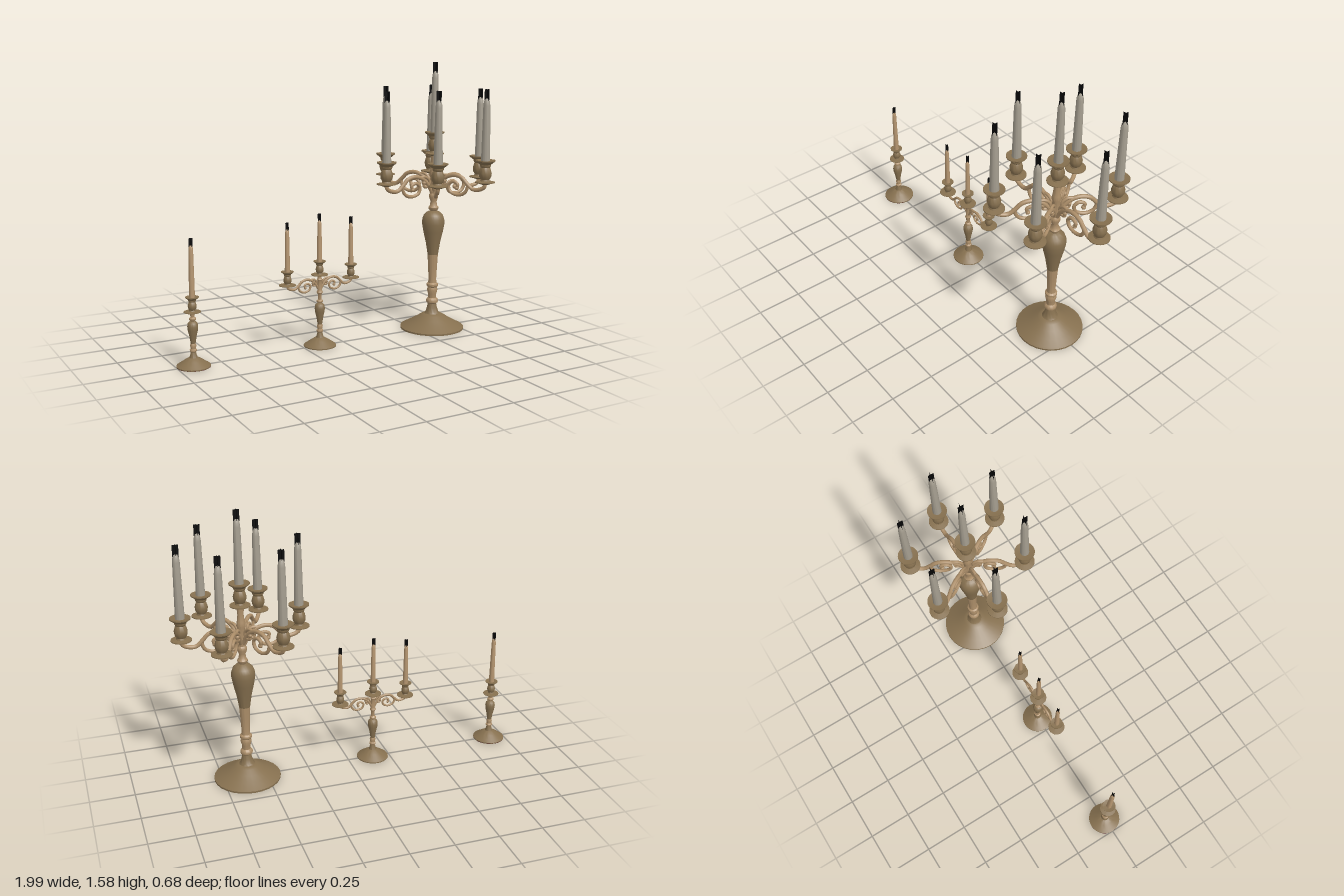
import * as THREE from 'three';
import { toCreasedNormals } from 'three/addons/utils/BufferGeometryUtils.js';

const mat = (name, color, side = THREE.FrontSide) => {
  const m = new THREE.MeshStandardMaterial({ color, side });
  m.name = name;
  return m;
};
const darkBrass = mat('dark brass', 0x86704f);
const lightBrass = mat('light brass', 0xac8e69);
const greyWax = mat('grey wax', 0xa39c8e);
const tanWax = mat('tan wax', 0xb3946f);
const black = mat('black flame', 0x060606, THREE.DoubleSide);
const felt = mat('red felt', 0x5c2a30);

const V = (x, y) => new THREE.Vector3(x, y, 0);

function mesh(name, geometry, material) {
  const m = new THREE.Mesh(geometry, material);
  m.name = name;
  return m;
}

// Turned part from [radius, height] pairs, bottom to top
function turned(name, profile, material, s = 1) {
  const pts = profile.map(([r, y]) => new THREE.Vector2(r * s, y * s));
  return mesh(name, toCreasedNormals(new THREE.LatheGeometry(pts, 28), 0.65), material);
}

// Drip dish and cup, origin at the dish
function holder(s, dish = 0.057) {
  return turned('candleHolder', [[0, -0.012], [0.018, -0.012], [dish * 0.7, -0.004],
    [dish, 0], [dish, 0.005], [0.028, 0.01], [0.025, 0.018], [0.034, 0.034], [0.037, 0.055],
    [0.03, 0.08], [0.026, 0.087], [0.032, 0.096], [0.032, 0.104], [0.045, 0.115],
    [0.057, 0.124], [0.057, 0.13], [0.03, 0.126], [0, 0.126]], darkBrass, s);
}

// Tapered candle with a crossed-card flame, origin at the candle foot
function candle(r, h, flameW, flameH, wax) {
  const g = new THREE.Group();
  g.name = 'candle';
  g.add(turned('wax', [[0, 0], [r, 0], [r * 0.76, h - r * 1.6], [r * 0.65, h - r * 0.7],
    [r * 0.4, h - r * 0.1], [0, h]], wax));
  for (const a of [0, Math.PI / 2]) {
    const card = mesh('flame', new THREE.PlaneGeometry(flameW, flameH), black);
    card.position.y = h + flameH / 2 - r * 0.5;
    card.rotation.y = a;
    g.add(card);
  }
  return g;
}

function tube(name, pts, r) {
  const curve = new THREE.CatmullRomCurve3(pts.map(([x, y]) => V(x, y)));
  return mesh(name, new THREE.TubeGeometry(curve, 48, r, 8), lightBrass);
}

// Scrolled arm, reaching along +x; the dish sits at (0.325, 0)
function arm(s) {
  const g = new THREE.Group();
  g.name = 'arm';
  g.add(
    tube('armCurve', [[0.012, -0.07], [0.035, -0.03], [0.075, 0.012], [0.13, 0.03], [0.18, 0.018],
      [0.21, -0.012], [0.25, -0.045], [0.295, -0.042], [0.322, -0.025], [0.325, -0.005]], 0.012),
    tube('outerScroll', [[0.19, 0.012], [0.216, -0.025], [0.2, -0.068], [0.155, -0.085],
      [0.107, -0.068], [0.097, -0.03], [0.125, -0.008], [0.154, -0.022], [0.148, -0.045]], 0.01),
    tube('innerScroll', [[0.1, 0.022], [0.06, 0.025], [0.032, 0.0], [0.04, -0.03],
      [0.068, -0.03], [0.07, -0.008]], 0.009)
  );
  for (const [x, y] of [[0.148, -0.045], [0.07, -0.008]]) {
    const knob = mesh('scrollEnd', new THREE.SphereGeometry(0.013, 12, 8), lightBrass);
    knob.position.set(x, y, 0);
    g.add(knob);
  }
  g.scale.setScalar(s);
  return g;
}

function holderWithCandle(s, dish, wax, candleArgs) {
  const g = new THREE.Group();
  g.name = 'candleAndHolder';
  const c = candle(...candleArgs, wax);
  c.position.y = 0.126 * s;
  g.add(holder(s, dish), c);
  return g;
}

function place(parent, child, x, y, z = 0) {
  child.position.set(x, y, z);
  parent.add(child);
}

function largeCandelabrum() {
  const g = new THREE.Group();
  g.name = 'largeCandelabrum';
  g.add(
    turned('foot', [[0, 0], [0.19, 0], [0.19, 0.01], [0.178, 0.016], [0.14, 0.037], [0.1, 0.06],
      [0.07, 0.08], [0.055, 0.088], [0.045, 0.09], [0.038, 0.1], [0.03, 0.125], [0.025, 0.15]], darkBrass),
    turned('lowerStem', [[0.025, 0.15], [0.034, 0.157], [0.036, 0.167], [0.032, 0.178], [0.024, 0.185],
      [0.025, 0.21], [0.032, 0.235], [0.027, 0.25], [0.034, 0.258], [0.034, 0.27], [0.025, 0.278],
      [0.023, 0.3], [0.027, 0.38], [0.031, 0.45]], lightBrass),
    turned('bulb', [[0.031, 0.45], [0.042, 0.52], [0.058, 0.59], [0.066, 0.635], [0.065, 0.665],
      [0.056, 0.69], [0.038, 0.707], [0.02, 0.715]], darkBrass),
    turned('upperStem', [[0.02, 0.715], [0.028, 0.725], [0.03, 0.735], [0.022, 0.745], [0.018, 0.77],
      [0.027, 0.795], [0.027, 0.81], [0.02, 0.82], [0.024, 0.87], [0.02, 0.92], [0.026, 0.94],
      [0.022, 0.96], [0.017, 1.0], [0.02, 1.045]], lightBrass)
  );
  place(g, holderWithCandle(1, 0.057, greyWax, [0.025, 0.355, 0.034, 0.064]), 0, 1.052);
  for (let i = 0; i < 6; i++) {
    const a = i * Math.PI / 3;
    const y = i % 3 === 0 ? 0.893 : 0.906;
    const branch = arm(1);
    branch.rotation.y = a;
    place(g, branch, 0, y);
    place(g, holderWithCandle(1, 0.057, greyWax, [0.026, 0.355, 0.034, 0.064]),
      0.325 * Math.cos(a), y, -0.325 * Math.sin(a));
  }
  return g;
}

// Foot and bulb shared by the two small pieces
function smallBase() {
  const g = new THREE.Group();
  g.name = 'smallBase';
  g.add(
    turned('foot', [[0, 0], [0.092, 0], [0.092, 0.006], [0.075, 0.017], [0.05, 0.034], [0.033, 0.045],
      [0.022, 0.05], [0.017, 0.065], [0.014, 0.08]], darkBrass),
    turned('lowerStem', [[0.014, 0.08], [0.019, 0.085], [0.019, 0.092], [0.013, 0.097],
      [0.017, 0.115], [0.013, 0.127]], lightBrass),
    turned('bulb', [[0.013, 0.127], [0.019, 0.165], [0.027, 0.2], [0.029, 0.22], [0.026, 0.238],
      [0.017, 0.247], [0.011, 0.25]], darkBrass)
  );
  return g;
}

function threeBranch() {
  const g = new THREE.Group();
  g.name = 'threeBranchCandelabrum';
  const s = 0.615;
  g.add(smallBase(), turned('upperStem', [[0.011, 0.25], [0.018, 0.256], [0.018, 0.263], [0.011, 0.27],
    [0.011, 0.3], [0.018, 0.312], [0.012, 0.325], [0.014, 0.355], [0.012, 0.375], [0.016, 0.385],
    [0.011, 0.395], [0.012, 0.408]], lightBrass));
  place(g, holderWithCandle(s, 0.078, tanWax, [0.015, 0.235, 0.021, 0.044]), 0, 0.412);
  for (const side of [1, -1]) {
    const branch = arm(s);
    branch.rotation.y = side > 0 ? 0 : Math.PI;
    place(g, branch, 0, 0.374);
    place(g, holderWithCandle(s, 0.078, tanWax, [0.015, 0.24, 0.021, 0.044]), side * 0.2, 0.374);
  }
  return g;
}

function singleStick() {
  const g = new THREE.Group();
  g.name = 'singleCandlestick';
  g.add(smallBase(), turned('upperStem', [[0.011, 0.25], [0.019, 0.257], [0.019, 0.265], [0.011, 0.272],
    [0.013, 0.292]], lightBrass));
  const pad = mesh('footPad', new THREE.CylinderGeometry(0.092, 0.092, 0.002, 28), felt);
  place(g, pad, 0, 0.0005);
  place(g, holderWithCandle(0.64, 0.071, tanWax, [0.016, 0.28, 0.022, 0.046]), 0, 0.298);
  return g;
}

export function createModel() {
  const root = new THREE.Group();
  root.name = 'candelabraSet';
  place(root, largeCandelabrum(), 0.61, 0);
  place(root, threeBranch(), -0.15, 0);
  place(root, singleStick(), -0.908, 0);
  return root;
}
